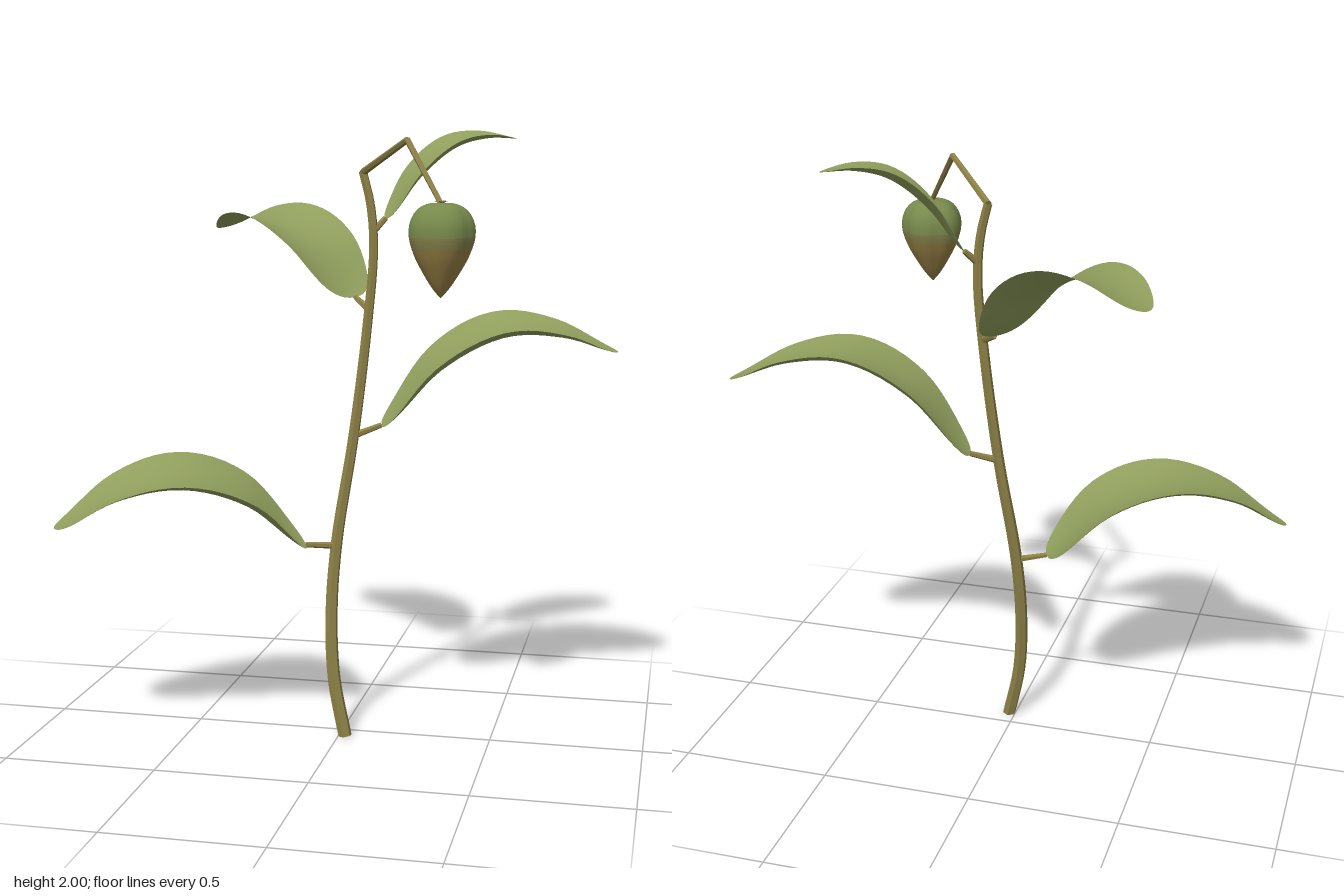
import * as THREE from 'three';
import { toCreasedNormals } from 'three/addons/utils/BufferGeometryUtils.js';

const mat = (name, color, side = THREE.FrontSide) => {
  const m = new THREE.MeshStandardMaterial({ color, side });
  m.name = name;
  return m;
};
const V = (x, y, z) => new THREE.Vector3(x, y, z);

export function createModel() {
  const model = new THREE.Group();
  const leafGreen = mat('leaf green', 0x8f9d5c, THREE.DoubleSide);
  const stemOlive = mat('stem olive', 0x8c8046);
  const budGreen = mat('bud green', 0x788a4c);
  const budBlend = mat('bud olive', 0x86824a);
  const budTan = mat('bud tan', 0x967f44);

  const add = (name, geometry, material, parent = model) => {
    const mesh = new THREE.Mesh(geometry, material);
    mesh.name = name;
    parent.add(mesh);
    return mesh;
  };

  // Straight six-sided rod between two points
  const rod = (name, a, b, r0, r1) => {
    const g = toCreasedNormals(new THREE.CylinderGeometry(r1, r0, a.distanceTo(b), 6), 0.5);
    const mesh = add(name, g, stemOlive);
    mesh.position.copy(a).lerp(b, 0.5);
    mesh.quaternion.setFromUnitVectors(V(0, 1, 0), b.clone().sub(a).normalize());
  };

  // Tapered, gently swaying six-sided stem
  const path = new THREE.CatmullRomCurve3([
    V(0.022, 0, 0.062), V(-0.02, 0.2, 0.045), V(-0.033, 0.42, 0.02), V(-0.02, 0.65, -0.002),
    V(0.03, 1, -0.032), V(0.07, 1.35, -0.05), V(0.091, 1.62, -0.056), V(0.08, 1.76, -0.058), V(0.054, 1.865, -0.06),
  ]);
  const rings = 48, sides = 6;
  const stem = new THREE.TubeGeometry(path, rings, 1, sides);
  const sp = stem.attributes.position, p = V(), c = V();
  for (let i = 0; i < sp.count; i++) {
    const t = Math.floor(i / (sides + 1)) / rings;
    path.getPointAt(t, c);
    p.fromBufferAttribute(sp, i).sub(c).multiplyScalar(0.023 - 0.009 * t).add(c);
    sp.setXYZ(i, p.x, Math.max(0, p.y), p.z);
  }
  add('stem', toCreasedNormals(stem, 0.5), stemOlive);
  const foot = add('stemFoot', new THREE.CircleGeometry(0.02, sides), stemOlive);
  foot.rotation.x = Math.PI / 2;
  foot.position.set(0.022, 0.001, 0.062);

  // Arched leaf: heights run along the midrib, the edges lift into a shallow trough
  const leaf = (name, base, tip, heights, width, bow) => {
    const dx = tip[0] - base[0], dz = tip[1] - base[1], len = Math.hypot(dx, dz);
    const ux = dx / len, uz = dz / len, flip = Math.sign(ux);
    const px = -uz * flip, pz = ux * flip;
    const rib = new THREE.SplineCurve(heights.map((h, i) => new THREE.Vector2(i / (heights.length - 1), h)));
    const nu = 36, nv = 12, pos = [], idx = [];
    for (let i = 0; i <= nu; i++) {
      const t = (1 - Math.cos(Math.PI * i / nu)) / 2;
      const half = width * Math.sqrt(Math.max(0, Math.sin(Math.PI * Math.pow(t, 0.77))));
      const y = rib.getPoint(t).y;
      const t0 = Math.max(0, t - 0.02), t1 = Math.min(1, t + 0.02);
      const slope = (rib.getPoint(t1).y - rib.getPoint(t0).y) / ((t1 - t0) * len);
      const k = Math.hypot(1, slope);
      for (let j = 0; j <= nv; j++) {
        const off = half * (j / nv * 2 - 1);
        const lift = 0.25 * off * off / width;
        const along = len * t - lift * slope / k;
        const across = off + bow * Math.sin(Math.PI * t);
        pos.push(base[0] + ux * along + px * across, y + lift / k - 0.1 * off, base[1] + uz * along + pz * across);
        if (i < nu && j < nv) {
          const a = i * (nv + 1) + j, b = a + nv + 1;
          if (flip > 0) idx.push(a, a + 1, b, b, a + 1, b + 1);
          else idx.push(a, b, a + 1, b, b + 1, a + 1);
        }
      }
    }
    const g = new THREE.BufferGeometry();
    g.setAttribute('position', new THREE.Float32BufferAttribute(pos, 3));
    g.setIndex(idx);
    g.computeVertexNormals();
    add(name, g, leafGreen);
  };

  // Leaves: base and tip in (x, z), midrib heights, half width, sideways bow; then stalk root
  const leaves = [
    ['lowerRightLeaf', [-0.115, 0.045], [-0.88, 0.34], [0.645, 0.8, 0.862, 0.83, 0.73], 0.214, 0.016, V(-0.022, 0.637, 0)],
    ['lowerLeftLeaf', [0.115, -0.075], [0.875, -0.245], [1.035, 1.23, 1.335, 1.335, 1.28], 0.192, 0.036, V(0.033, 1.005, -0.033)],
    ['upperRightLeaf', [0.02, -0.11], [-0.525, -0.425], [1.455, 1.61, 1.695, 1.71, 1.67], 0.165, 0.028, V(0.077, 1.42, -0.052)],
    ['upperLeftLeaf', [0.125, -0.085], [0.53, -0.25], [1.715, 1.85, 1.94, 1.972, 1.972], 0.121, 0.012, V(0.091, 1.675, -0.057)],
  ];
  for (const [name, base, tip, heights, width, bow, root] of leaves) {
    leaf(name, base, tip, heights, width, bow);
    rod(name + 'Stalk', root, V(base[0], heights[0], base[1]), 0.012, 0.009);
  }

  // Bent flower stalk
  const bend = V(0.238, 1.96, 0.16), hang = V(0.372, 1.77, 0.34);
  rod('flowerStalkUpper', V(0.054, 1.862, -0.06), bend, 0.012, 0.01);
  rod('flowerStalkLower', bend, hang, 0.01, 0.008);

  // Hanging bud of five rounded petals with creased grooves, turned in coloured bands
  const bud = new THREE.Group();
  bud.name = 'bud';
  bud.position.set(0.373, 0, 0.338);
  model.add(bud);
  const profile = new THREE.SplineCurve([
    [0.001, 1.49], [0.027, 1.52], [0.056, 1.565], [0.083, 1.615], [0.1, 1.67],
    [0.097, 1.715], [0.075, 1.752], [0.04, 1.77], [0.001, 1.772],
  ].map(([r, y]) => new THREE.Vector2(r, y)));
  const ridge = -82 * Math.PI / 180, groove = ridge + Math.PI / 5;
  const band = (name, t0, t1, material) => {
    const pts = [];
    for (let i = 0; i <= 10; i++) pts.push(profile.getPoint(t0 + (t1 - t0) * i / 10));
    const g = new THREE.LatheGeometry(pts, 40, Math.PI / 2 - groove), q = g.attributes.position;
    for (let i = 0; i < q.count; i++) {
      const a = Math.atan2(q.getZ(i), q.getX(i));
      const s = 0.94 + 0.08 * Math.abs(Math.cos(2.5 * (a - ridge)));
      q.setX(i, q.getX(i) * s);
      q.setZ(i, q.getZ(i) * s);
    }
    add(name, toCreasedNormals(g, 0.3), material, bud);
  };
  band('budTip', 0, 0.42, budTan);
  band('budMiddle', 0.42, 0.5, budBlend);
  band('budTop', 0.5, 1, budGreen);

  // Small sepals at the crown
  for (let k = 0; k < 5; k++) {
    const a = groove + k * Math.PI * 2 / 5;
    const sepal = add('sepal', new THREE.ConeGeometry(0.005, 0.024, 5), stemOlive, bud);
    sepal.position.set(0.012 * Math.cos(a), 1.776, 0.012 * Math.sin(a));
    sepal.quaternion.setFromUnitVectors(V(0, 1, 0), V(Math.cos(a), 0.15, Math.sin(a)).normalize());
  }
  return model;
}
